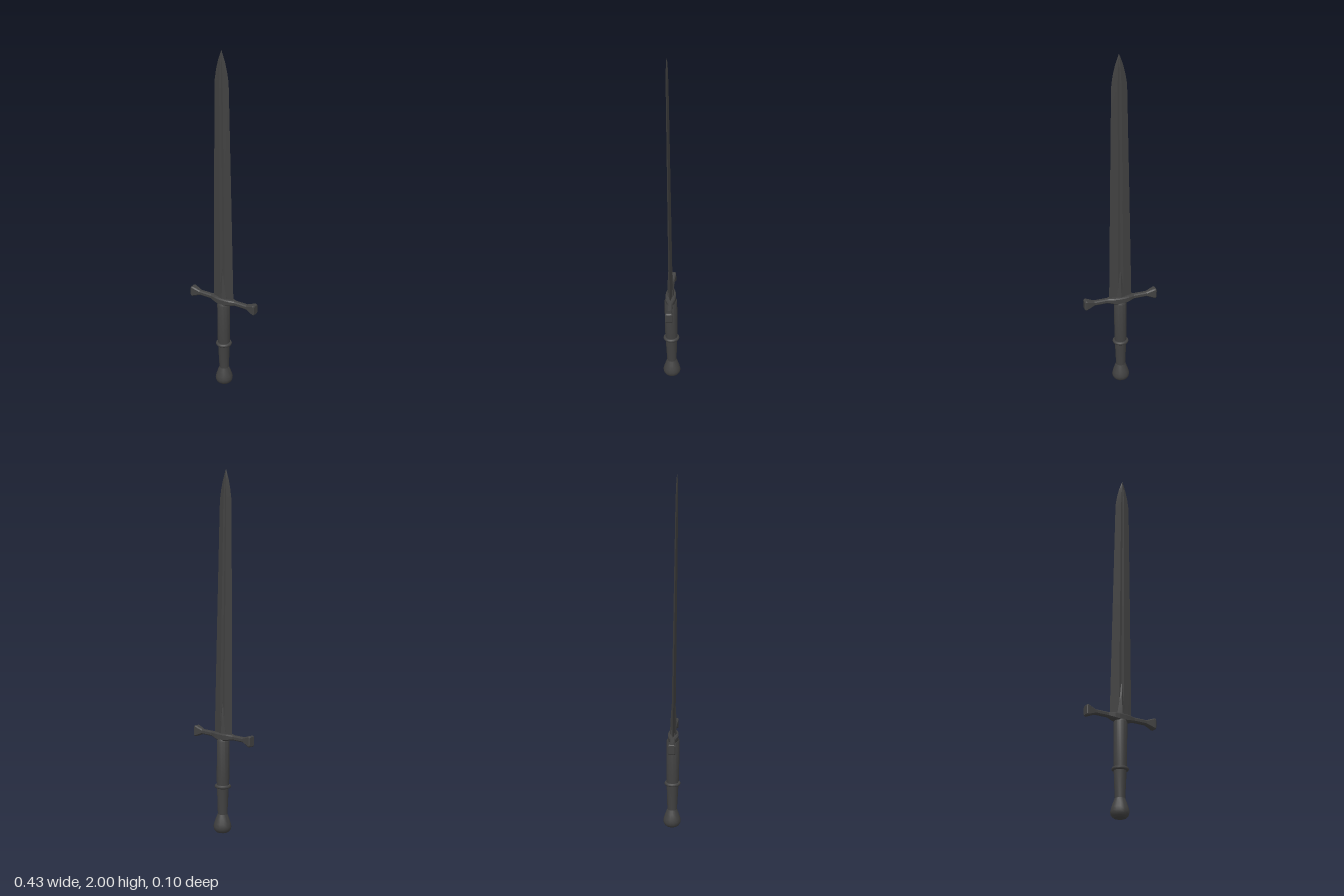
import * as THREE from 'three';
import { toCreasedNormals } from 'three/addons/utils/BufferGeometryUtils.js';

// Skin closed rings of [x, y, z] points (counter-clockwise seen from the far end) and cap both ends.
function loft(rings) {
  const n = rings[0].length, idx = [];
  for (let r = 0; r < rings.length - 1; r++) {
    for (let i = 0; i < n; i++) {
      const a = r * n + i, b = r * n + (i + 1) % n;
      idx.push(a, b, b + n, a, b + n, a + n);
    }
  }
  const top = (rings.length - 1) * n;
  for (let i = 1; i < n - 1; i++) idx.push(0, i + 1, i, top, top + i, top + i + 1);
  const g = new THREE.BufferGeometry();
  g.setAttribute('position', new THREE.Float32BufferAttribute(rings.flat(2), 3));
  g.setIndex(idx);
  return toCreasedNormals(g, 0.15);
}

// Turned part from [radius, height] points.
function turned(points, sides = 14) {
  const g = new THREE.LatheGeometry(points.map(p => new THREE.Vector2(...p)), sides);
  return toCreasedNormals(g, 0.6);
}

export function createModel() {
  const steel = new THREE.MeshStandardMaterial({ color: 0x414141 });
  steel.name = 'dark steel';
  const model = new THREE.Group();
  model.name = 'sword';
  const sword = new THREE.Group();
  sword.name = 'tiltedSword';
  sword.rotation.x = 0.0138; // leans slightly forward
  model.add(sword);
  const add = (name, geometry) => {
    const mesh = new THREE.Mesh(geometry, steel);
    mesh.name = name;
    sword.add(mesh);
    return mesh;
  };

  // Pommel, flared towards the flat end
  add('pommel', turned([
    [0, 0.001], [0.032, 0.001], [0.041, 0.008], [0.048, 0.02], [0.05, 0.034],
    [0.046, 0.053], [0.037, 0.08], [0.028, 0.104], [0, 0.104],
  ]));

  // Two-stage grip with a ring between
  add('lowerGrip', turned([[0, 0.095], [0.027, 0.095], [0.034, 0.26], [0, 0.26]], 12));
  add('upperGrip', turned([[0, 0.26], [0.034, 0.26], [0.036, 0.3], [0.036, 0.52], [0.031, 0.53], [0, 0.53]], 12));
  const ring = add('gripRing', new THREE.TorusGeometry(0.036, 0.01, 8, 20));
  ring.rotation.x = Math.PI / 2;
  ring.position.y = 0.262;

  // Crossguard: [x, bottom, top, half depth] with chamfered edges
  const half = [
    [0.02, 0.523, 0.562, 0.029], [0.045, 0.527, 0.562, 0.025], [0.078, 0.534, 0.56, 0.014],
    [0.155, 0.534, 0.56, 0.014], [0.2, 0.516, 0.576, 0.021], [0.208, 0.516, 0.576, 0.021],
    [0.213, 0.521, 0.571, 0.017],
  ];
  const guard = [...half.map(([x, ...s]) => [-x, ...s]).reverse(), ...half];
  add('crossguard', loft(guard.map(([x, lo, hi, d]) => {
    const c = 0.006;
    return [
      [x, hi, -d + c], [x, hi, d - c], [x, hi - c, d], [x, lo + c, d],
      [x, lo, d - c], [x, lo, -d + c], [x, lo + c, -d], [x, hi - c, -d],
    ];
  })));

  // Blade: [y, half width, half thickness], with a shallow fuller down each face
  const blade = [
    [0.55, 0.066, 0.011], [1.2, 0.055, 0.009], [1.8, 0.044, 0.007], [1.84, 0.042, 0.0065],
    [1.89, 0.034, 0.006], [1.94, 0.022, 0.005], [1.98, 0.008, 0.003], [2.0, 0.0004, 0.0004],
  ];
  add('blade', loft(blade.map(([y, w, t]) => {
    const r = w * 0.24, f = t * 0.7;
    return [
      [w, y, 0], [r, y, -t], [0, y, -f], [-r, y, -t],
      [-w, y, 0], [-r, y, t], [0, y, f], [r, y, t],
    ];
  })));

  // Pointed langet rising from the guard over both faces of the blade
  const langet = [[0.55, 0.029, 0.02], [0.61, 0.018, 0.017], [0.68, 0.01, 0.0145], [0.75, 0.001, 0.009]];
  add('langet', loft(langet.map(([y, w, d]) => [
    [w, y, -d * 0.6], [0, y, -d], [-w, y, -d * 0.6],
    [-w, y, d * 0.6], [0, y, d], [w, y, d * 0.6],
  ])));

  return model;
}
